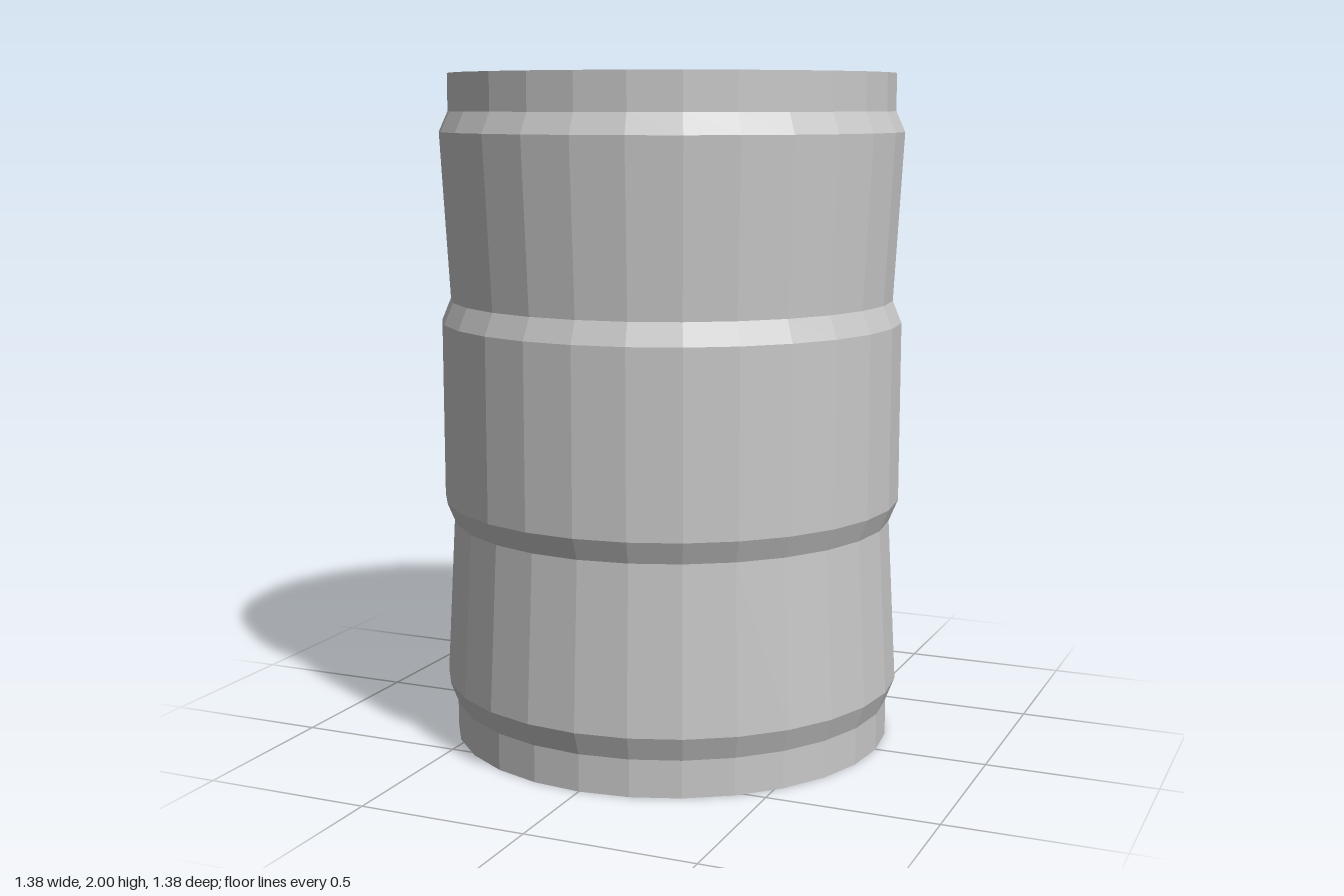
import * as THREE from 'three';

const SIDES = 28;

// Barrel outline from the bottom centre to the top centre: [radius, height]
const PROFILE = [
  [0, 0], [0.665, 0], [0.665, 0.11], [0.692, 0.18], [0.665, 0.67], [0.692, 0.735],
  [0.692, 1.27], [0.665, 1.335], [0.692, 1.83], [0.665, 1.89], [0.665, 2], [0, 2],
];

// Dent in the upper edge of the middle band: [column, radius]
const DENT_ROW = 6;
const DENT = [[11, 0.622], [12, 0.622], [13, 0.665]];

// Give each four-sided panel (two triangles) one shared normal
function flattenPanels(geometry) {
  const flat = geometry.toNonIndexed();
  const { position, normal } = flat.attributes;
  const triangle = new THREE.Triangle();
  const part = new THREE.Vector3();
  for (let start = 0; start < position.count; start += 6) {
    const sum = new THREE.Vector3();
    for (const t of [start, start + 3]) {
      triangle.setFromAttributeAndIndices(position, t, t + 1, t + 2);
      triangle.getNormal(part);
      sum.addScaledVector(part, triangle.getArea());
    }
    sum.normalize();
    for (let i = start; i < start + 6; i++) normal.setXYZ(i, sum.x, sum.y, sum.z);
  }
  return flat;
}

export function createModel() {
  const group = new THREE.Group();
  group.name = 'barrel';

  const steel = new THREE.MeshStandardMaterial({ color: 0xc8c8c8 });
  steel.name = 'light grey steel';

  // Ribbed drum with closed ends
  const points = PROFILE.map(([r, y]) => new THREE.Vector2(r, y));
  const geometry = new THREE.LatheGeometry(points, SIDES);

  // Push the dented corners inward
  const position = geometry.attributes.position;
  for (const [column, radius] of DENT) {
    const angle = (column / SIDES) * Math.PI * 2;
    const index = column * PROFILE.length + DENT_ROW;
    position.setX(index, Math.sin(angle) * radius);
    position.setZ(index, Math.cos(angle) * radius);
  }

  const body = new THREE.Mesh(flattenPanels(geometry), steel);
  body.name = 'barrelBody';
  group.add(body);
  return group;
}
